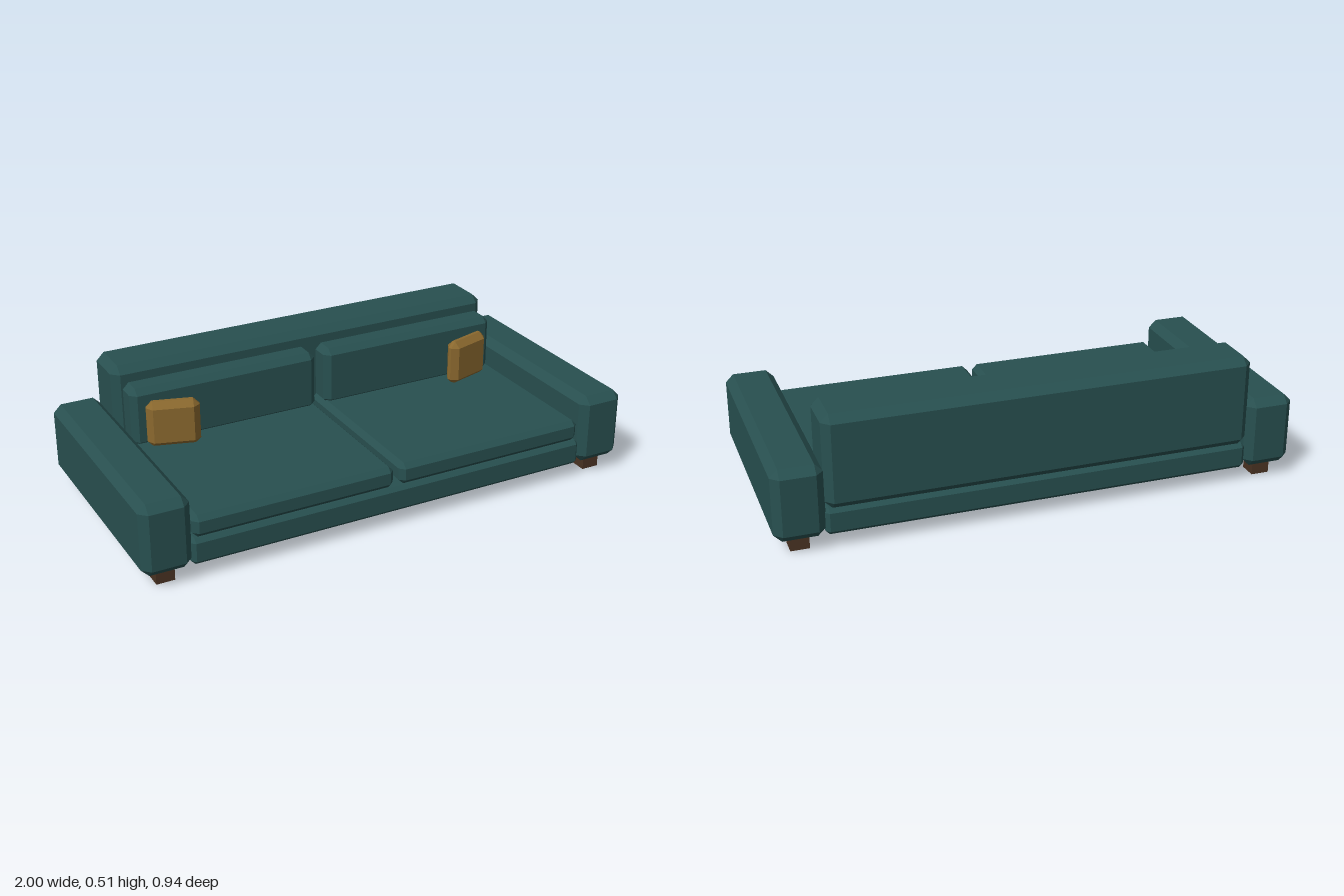
import * as THREE from 'three';
import { ConvexGeometry } from 'three/addons/geometries/ConvexGeometry.js';

const material = (name, color) => new THREE.MeshStandardMaterial({ name, color, flatShading: true });

// Box with every edge cut at 45 degrees and triangular corners
function chamferBox(w, h, d, c) {
  const points = [];
  for (const sx of [-1, 1]) for (const sy of [-1, 1]) for (const sz of [-1, 1]) {
    const x = w / 2, y = h / 2, z = d / 2;
    points.push(
      new THREE.Vector3(sx * x, sy * (y - c), sz * (z - c)),
      new THREE.Vector3(sx * (x - c), sy * y, sz * (z - c)),
      new THREE.Vector3(sx * (x - c), sy * (y - c), sz * z)
    );
  }
  return new ConvexGeometry(points);
}

export function createModel() {
  const fabric = material('teal fabric', 0x285050);
  const mustard = material('mustard fabric', 0x8a682e);
  const wood = material('dark wood', 0x4a3323);
  const sofa = new THREE.Group();
  sofa.name = 'sofa';

  function add(name, geometry, mat, x, y, z) {
    const mesh = new THREE.Mesh(geometry, mat);
    mesh.name = name;
    mesh.position.set(x, y, z);
    sofa.add(mesh);
    return mesh;
  }

  // Block given by its [min, max] extents
  function block(name, [x0, x1], [y0, y1], [z0, z1], c) {
    return add(name, chamferBox(x1 - x0, y1 - y0, z1 - z0, c), fabric,
      (x0 + x1) / 2, (y0 + y1) / 2, (z0 + z1) / 2);
  }

  // Frame
  block('base', [-0.815, 0.815], [0.055, 0.157], [-0.457, 0.457], 0.015);
  block('backrest', [-0.815, 0.815], [0.155, 0.515], [-0.47, -0.265], 0.03);

  for (const s of [-1, 1]) {
    const side = s > 0 ? 'left' : 'right';
    const span = (a, b) => (s > 0 ? [a, b] : [-b, -a]);

    block(side + 'Arm', span(0.812, 1), [0.055, 0.335], [-0.47, 0.47], 0.03);
    block(side + 'SeatCushion', span(0.012, 0.805), [0.157, 0.243], [-0.275, 0.455], 0.02);
    block(side + 'BackCushion', span(0.02, 0.787), [0.225, 0.463], [-0.265, -0.153], 0.024);

    // Throw pillow, turned towards the middle
    const pillow = add(side + 'Pillow', chamferBox(0.2, 0.185, 0.062, 0.024), mustard,
      s * 0.643, 0.328, -0.11);
    pillow.rotation.y = s * 0.29;

    // Square feet under the arm
    for (const z of [-0.385, 0.385]) {
      const foot = new THREE.CylinderGeometry(0.0495, 0.0495, 0.06, 4);
      foot.rotateY(Math.PI / 4);
      add(side + (z > 0 ? 'FrontLeg' : 'BackLeg'), foot, wood, s * 0.905, 0.03, z);
    }
  }
  return sofa;
}
